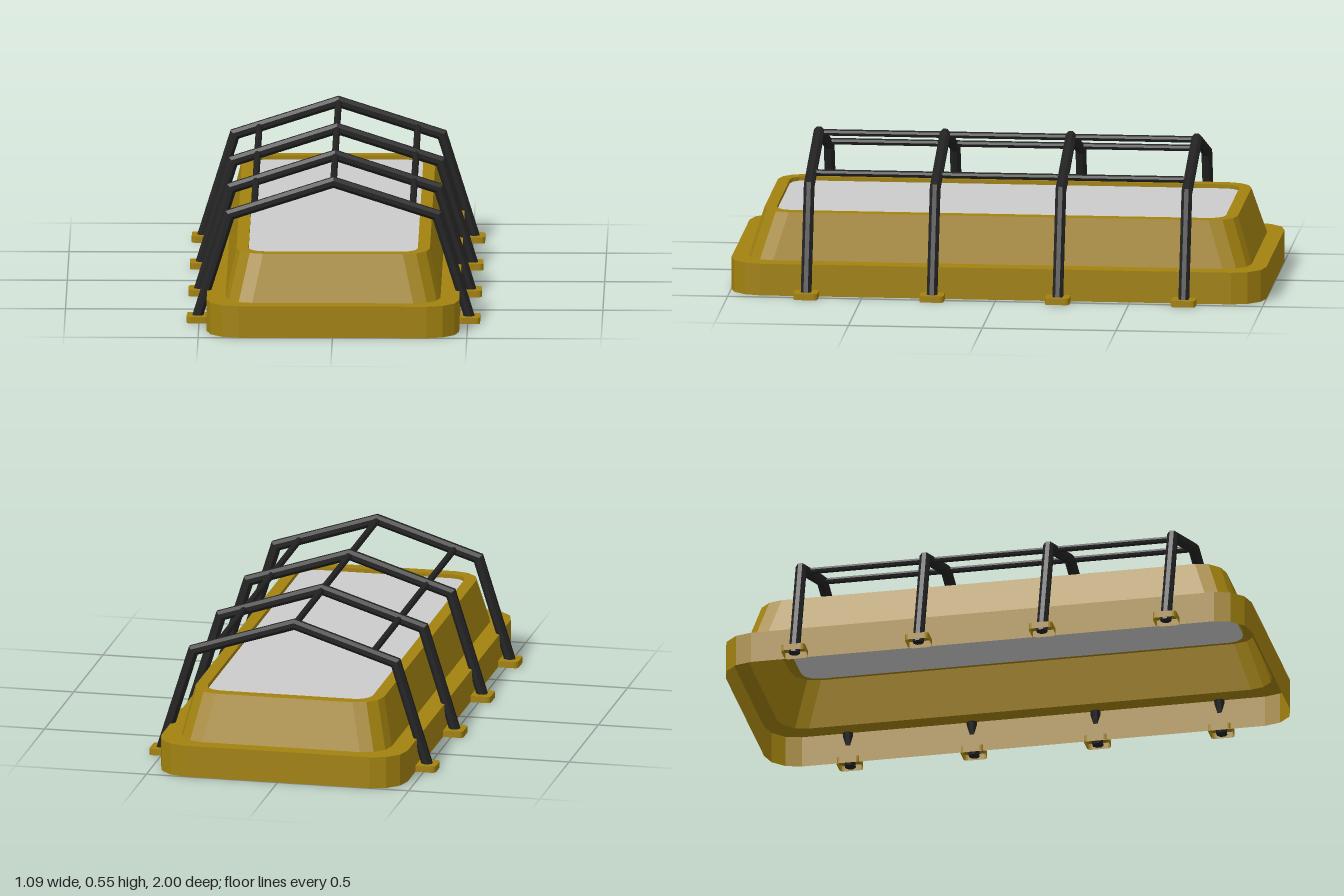
import * as THREE from 'three';

const material = (color) => new THREE.MeshStandardMaterial({ color, flatShading: true, side: THREE.DoubleSide });
const yellow = material(0xa2820f);
const black = material(0x222222);
const glass = material(0xcccccc);

// Skin between successive closed rings of points, with optional end caps
function loft(rings, capStart = false, capEnd = false) {
  const pos = [];
  const tri = (...pts) => pts.forEach((p) => pos.push(p.x, p.y, p.z));
  const n = rings[0].length;
  for (let k = 0; k + 1 < rings.length; k++) {
    for (let i = 0; i < n; i++) {
      const j = (i + 1) % n;
      const a = rings[k][i], b = rings[k][j], c = rings[k + 1][j], d = rings[k + 1][i];
      tri(a, d, c);
      tri(a, c, b);
    }
  }
  const first = rings[0], last = rings[rings.length - 1];
  for (let i = 1; i + 1 < n; i++) {
    if (capStart) tri(first[0], first[i], first[i + 1]);
    if (capEnd) tri(last[0], last[i + 1], last[i]);
  }
  const geo = new THREE.BufferGeometry();
  geo.setAttribute('position', new THREE.Float32BufferAttribute(pos, 3));
  geo.computeVertexNormals();
  return geo;
}

// Horizontal rounded rectangle with three facets per corner
function roundedRing(hx, hz, r, y) {
  const pts = [];
  [[1, 1], [-1, 1], [-1, -1], [1, -1]].forEach(([sx, sz], corner) => {
    for (let s = 0; s <= 3; s++) {
      const a = (corner + s / 3) * Math.PI / 2;
      pts.push(new THREE.Vector3(sx * (hx - r) + r * Math.cos(a), y, sz * (hz - r) + r * Math.sin(a)));
    }
  });
  return pts;
}

// Eight-sided bar following a path in the xy plane, with mitred joints and level ends
function mitredBar(path, r) {
  const pts = path.map(([x, y]) => new THREE.Vector2(x, y));
  const rings = pts.map((p, i) => {
    const dirIn = pts[i].clone().sub(pts[Math.max(i - 1, 0)]).normalize();
    const dirOut = pts[Math.min(i + 1, pts.length - 1)].clone().sub(p).normalize();
    const along = i === 0 ? dirOut : dirIn;
    const normal = new THREE.Vector2(-along.y, along.x);
    let across = new THREE.Vector2(-(dirIn.y + dirOut.y), dirIn.x + dirOut.x).normalize();
    if (i === 0) across = new THREE.Vector2(-1, 0);
    if (i === pts.length - 1) across = new THREE.Vector2(1, 0);
    across.multiplyScalar(r / across.dot(normal));
    return Array.from({ length: 8 }, (_, k) => {
      const a = (k + 0.5) * Math.PI / 4;
      return new THREE.Vector3(p.x + across.x * Math.cos(a), p.y + across.y * Math.cos(a), r * Math.sin(a));
    });
  });
  return loft(rings, true, true);
}

export function createModel() {
  const model = new THREE.Group();
  const add = (name, geo, mat, x = 0, y = 0, z = 0) => {
    const mesh = new THREE.Mesh(geo, mat);
    mesh.name = name;
    mesh.position.set(x, y, z);
    model.add(mesh);
    return mesh;
  };

  // Hollow stepped housing: skirt, ledge, tapered walls, rim and inner lip
  add('housing', loft([
    roundedRing(0.47, 1.0, 0.12, 0),
    roundedRing(0.47, 1.0, 0.12, 0.12),
    roundedRing(0.40, 0.94, 0.10, 0.12),
    roundedRing(0.36, 0.885, 0.10, 0.295),
    roundedRing(0.315, 0.84, 0.06, 0.295),
    roundedRing(0.315, 0.84, 0.06, 0.28),
  ]), yellow);

  // Recessed pane
  const pane = [roundedRing(0.315, 0.84, 0.06, 0.28)];
  add('pane', loft(pane, false, true), glass);

  // Guard frames, each standing on two hollow foot pads
  const frameGeo = mitredBar([[-0.512, 0], [-0.386, 0.405], [0, 0.53], [0.386, 0.405], [0.512, 0]], 0.021);
  const padGeo = loft([roundedRing(0.041, 0.045, 0.014, 0), roundedRing(0.041, 0.045, 0.014, 0.024)], false, true);
  for (const z of [-0.706, -0.235, 0.235, 0.706]) {
    add('guardFrame', frameGeo, black, 0, 0, z);
    for (const side of [-1, 1]) add('footPad', padGeo, yellow, side * 0.505, 0, z);
  }

  // Lengthwise rails joining the frames
  const railGeo = new THREE.CylinderGeometry(0.0125, 0.0125, 1.412, 8).rotateX(Math.PI / 2);
  for (const [x, y] of [[0, 0.528], [-0.295, 0.435], [0.295, 0.435]]) add('rail', railGeo, black, x, y, 0);

  return model;
}
